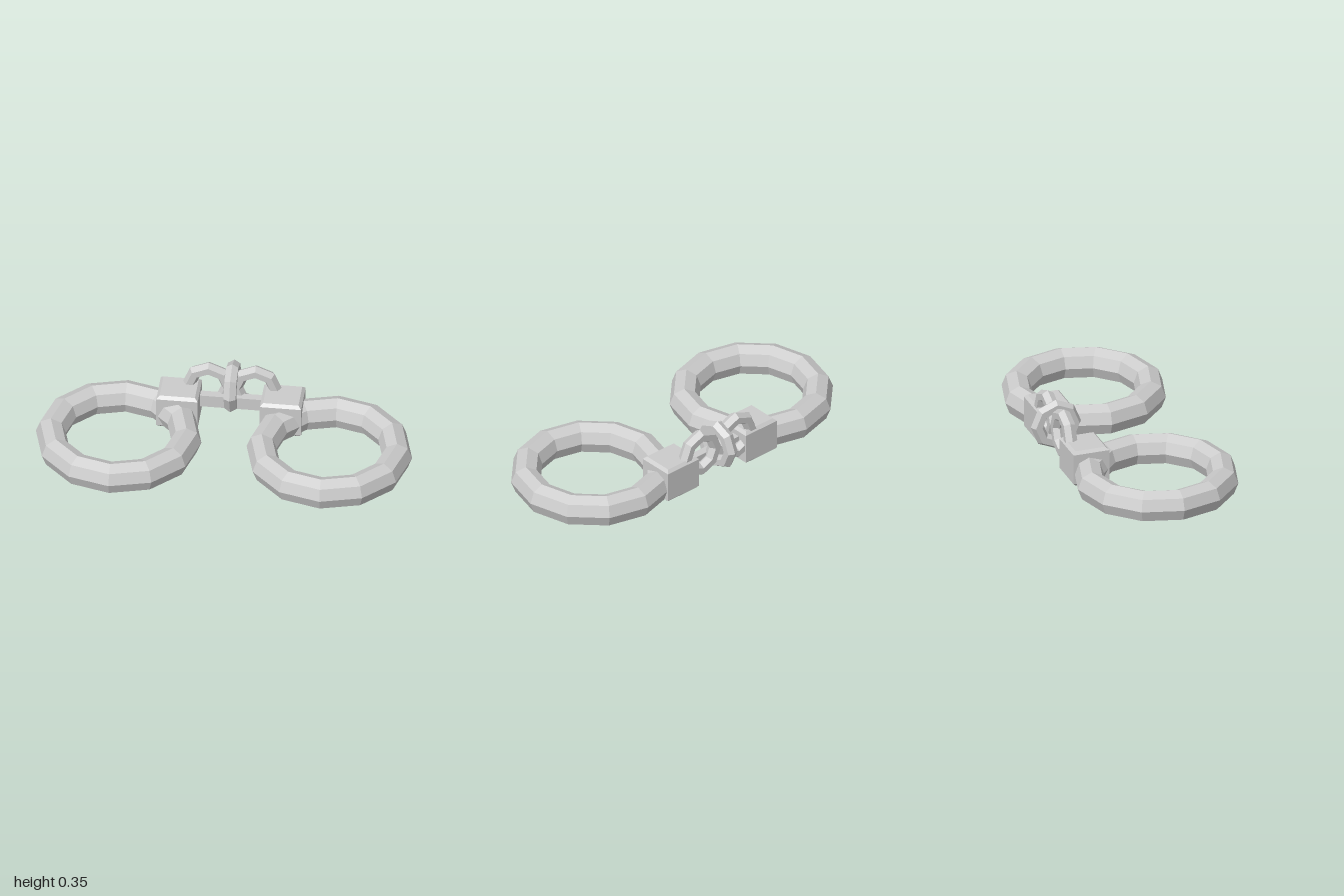
import * as THREE from 'three';

const material = new THREE.MeshStandardMaterial({ color: 0xcccccc, flatShading: true });

function add(parent, name, geometry, x, y, z) {
  const mesh = new THREE.Mesh(geometry, material);
  mesh.name = name;
  mesh.position.set(x, y, z);
  parent.add(mesh);
  return mesh;
}

// Box with chamfered top and bottom rims, centred on its origin
function chamferedBlock(w, h, d, c) {
  const a = w / 2 - c, b = d / 2 - c;
  const shape = new THREE.Shape([
    new THREE.Vector2(-a, -b), new THREE.Vector2(a, -b),
    new THREE.Vector2(a, b), new THREE.Vector2(-a, b),
  ]);
  const geometry = new THREE.ExtrudeGeometry(shape, {
    depth: h - 2 * c, bevelEnabled: true, bevelSize: c, bevelThickness: c, bevelSegments: 1,
  });
  geometry.rotateX(-Math.PI / 2);
  return geometry.center();
}

export function createModel() {
  const model = new THREE.Group();
  model.name = 'handcuffs';
  const chainZ = -0.33, chainY = 0.205;

  for (const [side, s] of [['left', 1], ['right', -1]]) {
    // Twelve-sided wrist ring with an octagonal section
    const ring = new THREE.TorusGeometry(0.36, 0.08, 8, 12).rotateX(Math.PI / 2).scale(1, 1.09, 1);
    add(model, side + 'Cuff', ring, s * 0.56, 0.0872, 0.03);

    // Lock housing at the back inner corner of the ring
    add(model, side + 'Lock', chamferedBlock(0.22, 0.2, 0.2, 0.016), s * 0.275, 0.115, -0.27);

    // Chain link facing the front
    add(model, side + 'Link', new THREE.TorusGeometry(0.104, 0.037, 6, 8), s * 0.125, chainY, chainZ);

    // Short tab from the lock to the middle link
    add(model, side + 'Tab', new THREE.BoxGeometry(0.17, 0.07, 0.045), s * 0.095, 0.135, -0.2925);
  }

  // Middle link, turned across the other two
  add(model, 'middleLink', new THREE.TorusGeometry(0.104, 0.037, 6, 8).rotateY(Math.PI / 2), 0, chainY, chainZ);

  return model;
}
